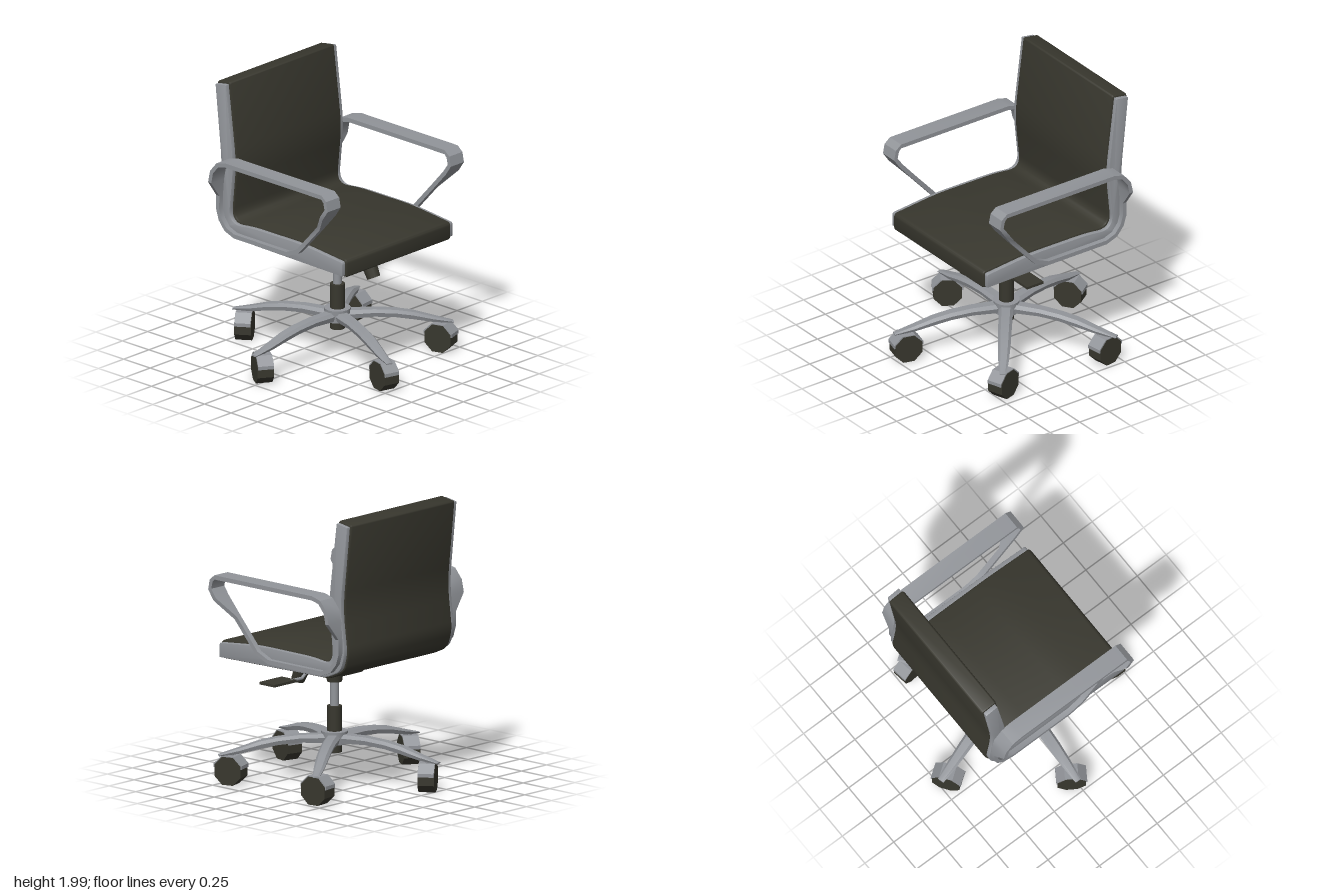
import * as THREE from 'three';
import { toCreasedNormals } from 'three/addons/utils/BufferGeometryUtils.js';

const CX = 0.066; // centre line of seat and column

const dark = new THREE.MeshStandardMaterial({ color: 0x38372e });
dark.name = 'dark upholstery';
const metal = new THREE.MeshStandardMaterial({ color: 0x92959a, side: THREE.DoubleSide });
metal.name = 'grey metal';

function add(parent, name, geometry, material, x = 0, y = 0, z = 0) {
  const mesh = new THREE.Mesh(geometry, material);
  mesh.name = name;
  mesh.position.set(x, y, z);
  parent.add(mesh);
  return mesh;
}

// Skin through rings of points; closed joins the last ring to the first, otherwise ends are capped
function loft(rings, closed = false) {
  const n = rings[0].length, tris = [];
  const count = closed ? rings.length : rings.length - 1;
  for (let i = 0; i < count; i++) {
    const a = rings[i], b = rings[(i + 1) % rings.length];
    for (let j = 0; j < n; j++) {
      const k = (j + 1) % n;
      tris.push([a[j], b[j], b[k]], [a[j], b[k], a[k]]);
    }
  }
  if (!closed) {
    const a = rings[0], b = rings[rings.length - 1];
    for (let j = 1; j < n - 1; j++) tris.push([a[0], a[j], a[j + 1]], [b[0], b[j + 1], b[j]]);
  }
  // Turn all faces outward
  let volume = 0;
  for (const [a, b, c] of tris) volume += a.dot(new THREE.Vector3().crossVectors(b, c));
  if (volume < 0) tris.forEach((t) => t.reverse());
  const geometry = new THREE.BufferGeometry().setFromPoints(tris.flat());
  return toCreasedNormals(geometry, 0.6);
}

// Side outline of seat and back: z, y, corner radius
const PROFILE = [
  [0.578, 0.857, 0.02], [0.578, 0.985, 0.03], [0.21, 1.022, 0.1], [-0.286, 1.02, 0.08],
  [-0.49, 0.995, 0.1], [-0.447, 1.42, 0.12], [-0.52, 2.0, 0.02], [-0.645, 1.98, 0.02],
  [-0.582, 1.39, 0.12], [-0.622, 1.07, 0.06], [-0.58, 0.94, 0.05], [-0.434, 0.872, 0.05],
];

function seatShape() {
  const shape = new THREE.Shape();
  const n = PROFILE.length;
  PROFILE.forEach(([z, y, r], i) => {
    const p = new THREE.Vector2(z, y);
    const toward = (q) => new THREE.Vector2(q[0], q[1]).sub(p).setLength(r).add(p);
    const a = toward(PROFILE[(i + n - 1) % n]), b = toward(PROFILE[(i + 1) % n]);
    if (i === 0) shape.moveTo(a.x, a.y);
    else shape.lineTo(a.x, a.y);
    shape.quadraticCurveTo(p.x, p.y, b.x, b.y);
  });
  shape.closePath();
  return shape;
}

// Seat section of a given width, centred on x = 0, its outline pulled in by inset
function seatSlab(width, bevel, inset) {
  const geometry = new THREE.ExtrudeGeometry(seatShape(), {
    depth: width - 2 * bevel, bevelThickness: bevel, bevelSize: bevel,
    bevelOffset: -bevel - inset, bevelSegments: 2, curveSegments: 6,
  });
  geometry.translate(0, 0, bevel - width / 2).rotateY(-Math.PI / 2);
  return toCreasedNormals(geometry, 0.6);
}

// Armrest loop: z, y of the band's centre line
const ARM = [
  [0.49, 1.463], [0.522, 1.435], [0.535, 1.375], [0.49, 1.31], [0.375, 1.18], [0.235, 1.025],
  [0.18, 0.965], [0.075, 0.92], [-0.42, 0.92], [-0.5, 0.95], [-0.55, 1.01], [-0.572, 1.08],
  [-0.572, 1.18], [-0.562, 1.3], [-0.545, 1.38], [-0.49, 1.445], [-0.42, 1.463],
];

// The band is wide at the top and narrow beside the seat
function armGeometry(side) {
  const n = ARM.length, half = 0.015;
  const rings = ARM.map(([z, y], i) => {
    const a = ARM[(i + n - 1) % n], b = ARM[(i + 1) % n];
    const t = new THREE.Vector2(b[0] - a[0], b[1] - a[1]).setLength(half);
    const inner = side * 0.545;
    const outer = side * (0.585 + 0.09 * THREE.MathUtils.clamp((y - 1.18) / 0.12, 0, 1));
    return [[inner, 1], [outer, 1], [outer, -1], [inner, -1]].map(
      ([x, s]) => new THREE.Vector3(x, y + s * t.x, z - s * t.y));
  });
  return loft(rings, true);
}

// Arched base leg along +x: radius, top, bottom, half width
function legGeometry() {
  const stations = [
    [0.04, 0.338, 0.275, 0.05], [0.25, 0.336, 0.285, 0.048], [0.4, 0.322, 0.272, 0.046],
    [0.52, 0.3, 0.25, 0.044], [0.66, 0.256, 0.22, 0.037], [0.8, 0.215, 0.204, 0.024],
  ];
  return loft(stations.map(([r, top, bottom, w]) => {
    const mid = top - (top - bottom) * 0.4;
    return [[-0.6, top], [0.6, top], [1, mid], [0.8, bottom], [-0.8, bottom], [-1, mid]].map(
      ([k, y]) => new THREE.Vector3(r, y, k * w));
  }));
}

// Rectangular ring at height y
function rect(x, z0, z1, y) {
  return [[-x, z0], [x, z0], [x, z1], [-x, z1]].map(([px, pz]) => new THREE.Vector3(px, y, pz));
}

// Cylinder between two points
function rod(parent, name, a, b, ra, rb, material, sides = 12) {
  const from = new THREE.Vector3(...a), to = new THREE.Vector3(...b);
  const dir = to.clone().sub(from);
  const mesh = add(parent, name, new THREE.CylinderGeometry(rb, ra, dir.length(), sides), material);
  mesh.position.copy(from).add(to).multiplyScalar(0.5);
  mesh.quaternion.setFromUnitVectors(new THREE.Vector3(0, 1, 0), dir.normalize());
  return mesh;
}

function makeCaster(x, z, degrees) {
  const caster = new THREE.Group();
  caster.name = 'caster';
  const wheel = new THREE.CylinderGeometry(0.108, 0.108, 0.116, 8);
  wheel.rotateY(Math.PI / 8).rotateZ(Math.PI / 2).scale(1, 0.98, 0.98);
  add(caster, 'wheel', toCreasedNormals(wheel, 0.3), dark);
  const fender = new THREE.CylinderGeometry(0.11, 0.11, 0.11, 4, 1, true, Math.PI / 8, Math.PI * 0.75);
  fender.rotateZ(Math.PI / 2);
  // Three flats over the wheel and a short skirt on each side
  const hood = [[-0.102, 0.02], [-0.102, 0.045], [-0.045, 0.103], [0.045, 0.103], [0.102, 0.045], [0.102, 0.02]];
  const ring = (px) => hood.map(([pz, py]) => new THREE.Vector3(px, py * 1.005, pz * 1.04));
  add(caster, 'fender', loft([ring(-0.056), ring(0.056)]), metal);
  caster.position.set(x, 0.1035, z);
  caster.rotation.y = -THREE.MathUtils.degToRad(degrees);
  return caster;
}

export function createModel() {
  const model = new THREE.Group();
  model.name = 'officeChair';

  // Seat and back in one piece, with side rails and armrests
  add(model, 'seatAndBack', seatSlab(1.036, 0.016, 0), dark, CX);
  for (const side of [-1, 1]) {
    const name = side > 0 ? 'left' : 'right';
    add(model, name + 'Rail', seatSlab(0.05, 0.004, 0.014), metal, CX + side * 0.523);
    add(model, name + 'Armrest', armGeometry(side), metal, CX);
  }

  // Tilt mechanism under the seat
  add(model, 'mountingPlate', new THREE.BoxGeometry(0.5, 0.02, 0.52), dark, CX, 0.865, -0.02);
  add(model, 'tiltHousing', loft([rect(0.15, -0.21, 0.22, 0.86), rect(0.1, -0.165, 0.18, 0.775)]), dark, CX);
  rod(model, 'knobNeck', [CX, 0.87, 0.22], [CX, 0.81, 0.265], 0.03, 0.03, dark);
  rod(model, 'tensionKnob', [CX, 0.825, 0.258], [CX, 0.658, 0.342], 0.06, 0.048, dark);

  // Height lever
  const lever = [[0.13, 0.79], [0.22, 0.79], [0.285, 0.741], [0.4, 0.741]];
  for (let i = 0; i < 3; i++) {
    rod(model, 'lever', [...lever[i], 0.1], [...lever[i + 1], 0.1], 0.011, 0.011, metal, 8);
  }
  add(model, 'leverPaddle', new THREE.BoxGeometry(0.22, 0.018, 0.14), dark, 0.48, 0.741, 0.14);

  // Gas column
  rod(model, 'columnCollar', [CX, 0.7, 0], [CX, 0.78, 0], 0.052, 0.062, dark, 16);
  rod(model, 'pistonRod', [CX, 0.5, 0], [CX, 0.74, 0], 0.03, 0.03, metal, 16);
  rod(model, 'columnSleeve', [CX, 0.205, 0], [CX, 0.53, 0], 0.051, 0.051, dark, 16);
  rod(model, 'baseHub', [CX, 0.265, 0], [CX, 0.355, 0], 0.085, 0.092, metal, 16);

  // Five legs, each with a caster swivelled its own way
  const swivels = [-18, 15, 33, 55, -8];
  swivels.forEach((swivel, i) => {
    const angle = THREE.MathUtils.degToRad(38 + 72 * i);
    const x = CX + 0.715 * Math.cos(angle), z = 0.715 * Math.sin(angle);
    add(model, 'baseLeg', legGeometry(), metal, CX).rotation.y = -angle;
    rod(model, 'casterStem', [x, 0.19, z], [x, 0.23, z], 0.02, 0.02, metal, 8);
    model.add(makeCaster(x, z, swivel));
  });

  return model;
}
